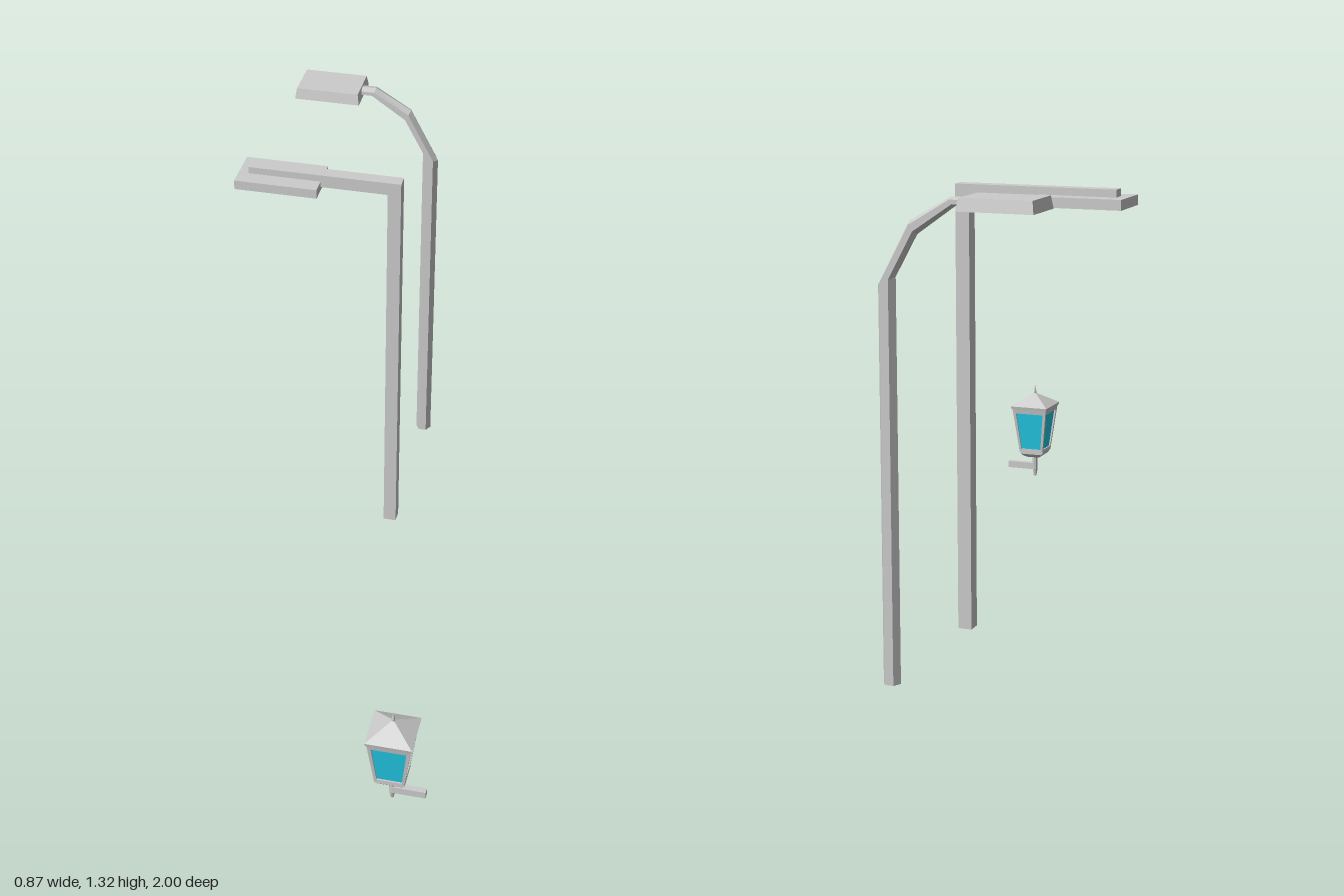
import * as THREE from 'three';

const grey = new THREE.MeshStandardMaterial({ color: 0xcccccc, flatShading: true });
const glassBlue = new THREE.MeshStandardMaterial({ color: 0x23cce8, flatShading: true });

function add(parent, name, geometry, material = grey) {
  const mesh = new THREE.Mesh(geometry, material);
  mesh.name = name;
  parent.add(mesh);
  return mesh;
}

function group(parent, name, x, z) {
  const g = new THREE.Group();
  g.name = name;
  g.position.set(x, 0, z);
  parent.add(g);
  return g;
}

// Box given by its limits
function box(x0, x1, y0, y1, z0, z1) {
  return new THREE.BoxGeometry(x1 - x0, y1 - y0, z1 - z0)
    .translate((x0 + x1) / 2, (y0 + y1) / 2, (z0 + z1) / 2);
}

// Capped skin over rings of points, counterclockwise as seen from the far end
function loft(rings) {
  const pos = [];
  const tri = (...pts) => pts.forEach((p) => pos.push(...p));
  const n = rings[0].length;
  for (let r = 0; r + 1 < rings.length; r++) {
    const a = rings[r], b = rings[r + 1];
    for (let i = 0; i < n; i++) {
      const j = (i + 1) % n;
      tri(a[i], a[j], b[j]);
      tri(a[i], b[j], b[i]);
    }
  }
  const first = rings[0], last = rings[rings.length - 1];
  for (let i = 1; i + 1 < n; i++) {
    tri(first[0], first[i + 1], first[i]);
    tri(last[0], last[i], last[i + 1]);
  }
  const g = new THREE.BufferGeometry();
  g.setAttribute('position', new THREE.Float32BufferAttribute(pos, 3));
  g.computeVertexNormals();
  return g;
}

// Rectangular ring at height y
const rect = (y, hx, hz = hx, cx = 0, cz = 0) =>
  [[cx + hx, y, cz + hz], [cx + hx, y, cz - hz], [cx - hx, y, cz - hz], [cx - hx, y, cz + hz]];

// Square stack from [height, half width] pairs
const stack = (profile) => loft(profile.map(([y, h]) => rect(y, h)));

function squareStreetlight(root) {
  const g = group(root, 'squareStreetlight', 0, -0.413);
  add(g, 'post', box(0.025, 0.066, 0, 1.29, -0.021, 0.021));
  add(g, 'arm', box(-0.405, 0.025, 1.25, 1.29, -0.021, 0.021));
  add(g, 'lampHead', box(-0.436, -0.181, 1.24, 1.269, -0.074, 0.074));
}

function curvedStreetlight(root) {
  const g = group(root, 'curvedStreetlight', 0, -0.93);
  // Outer and inner edge of the hexagonal pole at each bend: x, y, x, y
  const bends = [
    [0.077, 0, 0.027, 0],
    [0.077, 1.077, 0.027, 1.1],
    [-0.014, 1.248, -0.035, 1.213],
    [-0.129, 1.313, -0.142, 1.29],
    [-0.2, 1.313, -0.2, 1.29],
  ];
  add(g, 'bentPole', loft(bends.map(([ox, oy, ix, iy]) =>
    Array.from({ length: 6 }, (_, i) => {
      const a = i * Math.PI / 3, c = Math.cos(a) / 2;
      return [(ox + ix) / 2 + (ox - ix) * c, (oy + iy) / 2 + (oy - iy) * c, -0.025 * Math.sin(a)];
    }))));
  add(g, 'lampHead', loft([rect(1.284, 0.104, 0.073, -0.274), rect(1.318, 0.099, 0.066, -0.274)]));
}

function wallLantern(root) {
  const g = group(root, 'wallLantern', 0.337, 0.934);
  add(g, 'roof', stack([[0.362, 0.064], [0.371, 0.066], [0.411, 0.004]]));
  add(g, 'topRail', stack([[0.346, 0.059], [0.368, 0.063]]));
  add(g, 'glass', stack([[0.214, 0.038], [0.348, 0.054]]), glassBlue);
  add(g, 'bottomRail', stack([[0.204, 0.043], [0.217, 0.043]]));
  add(g, 'base', stack([[0.185, 0.023], [0.192, 0.033], [0.198, 0.038], [0.206, 0.038]]));

  // Sloping corner posts
  for (const sx of [-1, 1]) for (const sz of [-1, 1]) {
    add(g, 'cornerPost', loft([
      rect(0.212, 0.004, 0.004, sx * 0.039, sz * 0.039),
      rect(0.35, 0.005, 0.005, sx * 0.055, sz * 0.055),
    ]));
  }

  // Finial, stem and bracket
  const lathe = (pts, sides) =>
    new THREE.LatheGeometry(pts.map(([r, y]) => new THREE.Vector2(r, y)), sides);
  add(g, 'finial', lathe([[0.004, 0.404], [0.005, 0.416], [0.003, 0.428], [0, 0.442]], 8));
  add(g, 'stem', lathe([[0, 0.114], [0.005, 0.115], [0.009, 0.138], [0.009, 0.188]], 8));
  add(g, 'bracket', box(0, 0.097, 0.138, 0.16, -0.009, 0.009));
}

export function createModel() {
  const root = new THREE.Group();
  root.name = 'lampSet';
  squareStreetlight(root);
  curvedStreetlight(root);
  wallLantern(root);
  return root;
}
